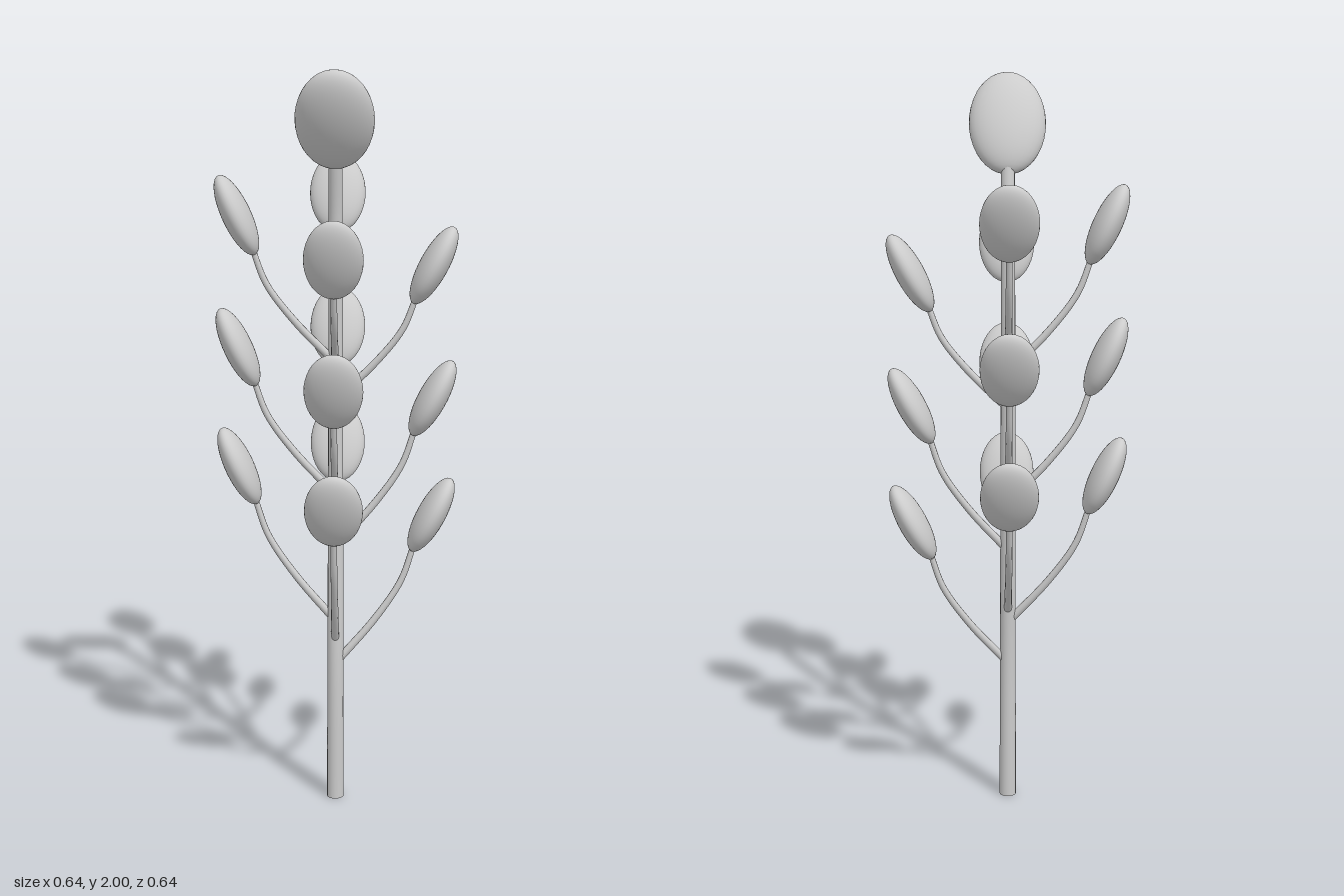
import * as THREE from 'three';

const V = (x, y, z) => new THREE.Vector3(x, y, z);
const material = new THREE.MeshStandardMaterial({ color: 0xcccccc });

// Tube along a curve whose radius runs from r0 to r1
function taperedTube(curve, r0, r1, segments, sides) {
  const geo = new THREE.TubeGeometry(curve, segments, 1, sides);
  const pos = geo.attributes.position;
  const v = V(0, 0, 0);
  for (let i = 0; i < pos.count; i++) {
    const t = Math.floor(i / (sides + 1)) / segments;
    const centre = curve.getPointAt(t);
    v.fromBufferAttribute(pos, i).sub(centre).multiplyScalar(r0 + (r1 - r0) * t).add(centre);
    pos.setXYZ(i, v.x, v.y, v.z);
  }
  return geo;
}

function addMesh(parent, name, geometry) {
  const mesh = new THREE.Mesh(geometry, material);
  mesh.name = name;
  parent.add(mesh);
  return mesh;
}

// Flattened egg-like leaf: length along y, thin along x, wide along z
function addLeaf(parent, name, centre, halfSize, heading, tilt) {
  const leaf = addMesh(parent, name, new THREE.SphereGeometry(1, 32, 20));
  leaf.scale.set(...halfSize);
  leaf.position.copy(centre);
  leaf.rotation.set(0, heading, -tilt, 'YXZ');
  return leaf;
}

export function createModel() {
  const model = new THREE.Group();
  model.name = 'leafySprig';

  // Gently bowed main stem
  const stemCurve = new THREE.CatmullRomCurve3([
    V(0, 0, 0.048), V(0, 0.4, 0.045), V(0, 0.75, 0.022), V(0, 1.1, 0.003),
    V(0, 1.4, 0.003), V(0, 1.6, 0.016), V(0, 1.78, 0.048),
  ]);
  addMesh(model, 'stem', taperedTube(stemCurve, 0.023, 0.018, 48, 16));
  const cap = addMesh(model, 'stemBase', new THREE.CircleGeometry(0.023, 16));
  cap.rotation.x = Math.PI / 2;
  cap.position.set(0, 0.001, 0.048);

  // z of the stem centre at a given height
  const stemPoints = stemCurve.getPoints(200);
  const stemZ = (y) => stemPoints.find((p) => p.y >= y).z;

  // Large leaf at the tip, leaning forward
  addLeaf(model, 'tipLeaf', V(0, 1.868, 0.112), [0.054, 0.147, 0.102], -Math.PI / 2, 0.53);

  // Four ranks of side twigs; each tier is [height on stem, height of leaf centre]
  const ranks = [
    { name: 'left', dir: V(1, 0, 0), reach: 0.258, leafZ: 0.01, tilt: 0.49,
      tiers: [[0.39, 0.803], [0.72, 1.126], [1.12, 1.483]] },
    { name: 'right', dir: V(-1, 0, 0), reach: 0.26, leafZ: 0, tilt: 0.43,
      tiers: [[0.51, 0.934], [0.86, 1.26], [1.22, 1.612]] },
    { name: 'front', dir: V(0, 0, 1), reach: 0.265, leafZ: 0, tilt: 0.43,
      tiers: [[0.45, 0.882], [0.81, 1.197], [1.17, 1.533]] },
    { name: 'back', dir: V(0, 0, -1), reach: 0.255, leafZ: 0, tilt: 0.49,
      tiers: [[0.54, 0.94], [0.86, 1.272], [1.23, 1.643]] },
  ];
  for (const { name, dir, reach, leafZ, tilt, tiers } of ranks) {
    const heading = Math.atan2(-dir.z, dir.x);
    tiers.forEach(([y0, leafY], i) => {
      const twig = new THREE.Group();
      twig.name = `${name}Twig${i + 1}`;
      model.add(twig);

      const centre = dir.clone().multiplyScalar(reach).add(V(0, leafY, leafZ));
      const base = centre.clone().addScaledVector(dir, -0.1 * Math.sin(tilt));
      base.y -= 0.1 * Math.cos(tilt);
      const start = V(0, y0, stemZ(y0));
      const along = (out, up) => {
        const p = start.clone().lerp(base, out);
        p.y = y0 + (base.y - y0) * up;
        return p;
      };
      const curve = new THREE.CatmullRomCurve3(
        [start, along(0.5, 0.37), along(0.84, 0.7), base]);
      addMesh(twig, 'twigStalk', taperedTube(curve, 0.011, 0.008, 24, 10));
      addLeaf(twig, 'twigLeaf', centre, [0.038, 0.114, 0.076], heading, tilt);
    });
  }
  return model;
}
